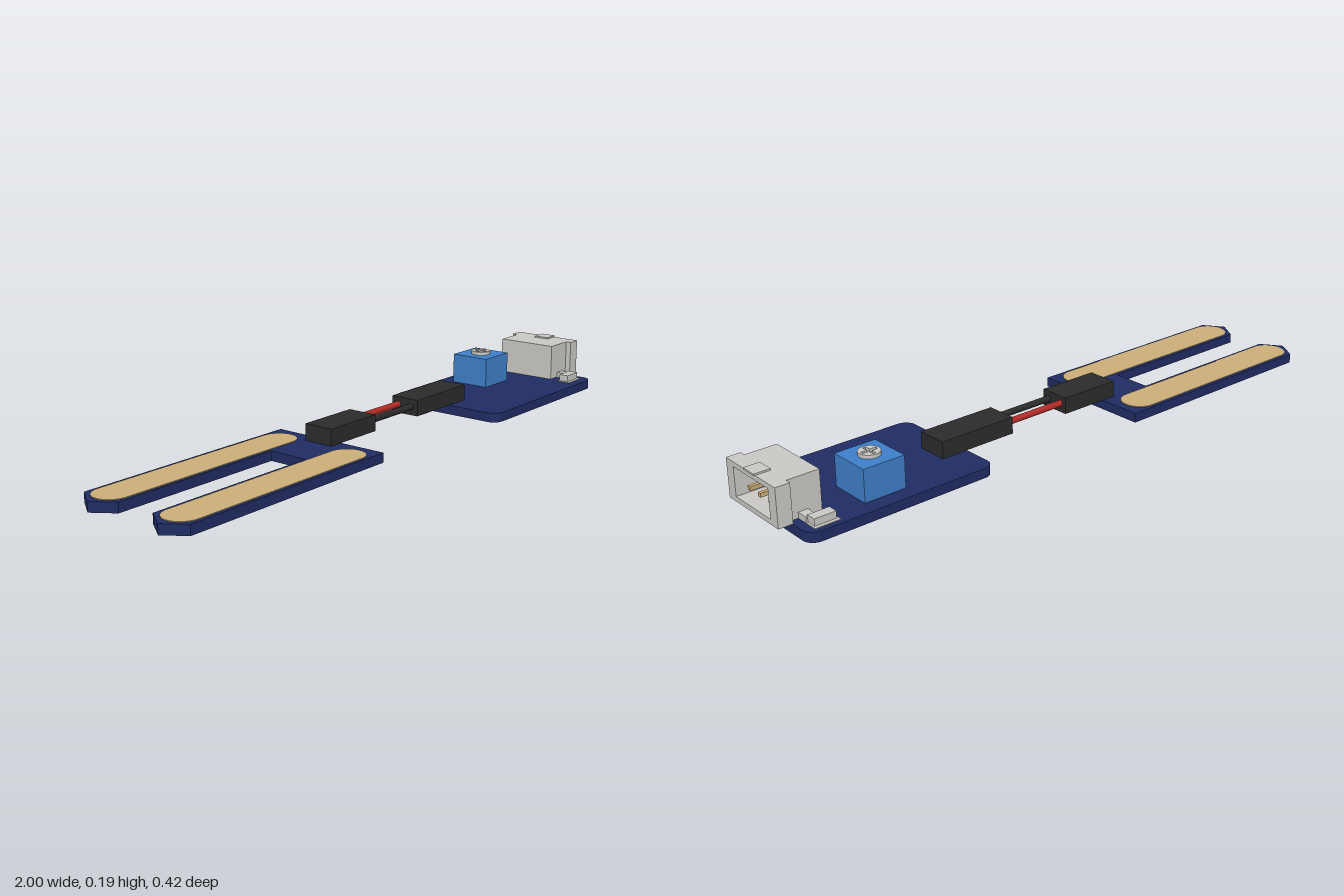
import * as THREE from 'three';

const mat = (name, color) => {
  const m = new THREE.MeshStandardMaterial({ color });
  m.name = name;
  return m;
};

export function createModel() {
  const navy = mat('navy board', 0x202c63);
  const gold = mat('gold contact', 0xcbae78);
  const black = mat('black plastic', 0x2b2b2b);
  const red = mat('red wire', 0xb32b26);
  const blue = mat('blue plastic', 0x3f7fc9);
  const grey = mat('light grey plastic', 0xcac8c4);

  const model = new THREE.Group();
  model.name = 'moistureSensor';

  const add = (name, geometry, material) => {
    const mesh = new THREE.Mesh(geometry, material);
    mesh.name = name;
    model.add(mesh);
    return mesh;
  };
  // Box given by its limits on each axis
  const box = (name, material, [x0, x1], [y0, y1], [z0, z1]) =>
    add(name, new THREE.BoxGeometry(x1 - x0, y1 - y0, z1 - z0), material)
      .position.set((x0 + x1) / 2, (y0 + y1) / 2, (z0 + z1) / 2);
  // Flat plate: shape drawn as (x, -z), extruded upwards from y0
  const plate = (name, material, shape, y0, y1) => {
    const g = new THREE.ExtrudeGeometry(shape, { depth: y1 - y0, bevelEnabled: false, curveSegments: 12 });
    g.rotateX(-Math.PI / 2);
    g.translate(0, y0, 0);
    return add(name, g, material);
  };
  const polygon = (pts) => new THREE.Shape(pts.map(([x, z]) => new THREE.Vector2(x, -z)));
  const roundRect = (x0, x1, z0, z1, r) => {
    const s = new THREE.Shape();
    s.absarc(x1 - r, -z0 - r, r, 0, Math.PI / 2);
    s.absarc(x0 + r, -z0 - r, r, Math.PI / 2, Math.PI);
    s.absarc(x0 + r, -z1 + r, r, Math.PI, Math.PI * 1.5);
    s.absarc(x1 - r, -z1 + r, r, Math.PI * 1.5, Math.PI * 2);
    s.closePath();
    return s;
  };

  const bottom = 0.032, top = 0.062;

  // Two-pronged probe with pointed tips
  plate('probeBoard', navy, polygon([
    [-0.2, 0.183], [-0.955, 0.183], [-1, 0.117], [-0.955, 0.05], [-0.385, 0.05],
    [-0.385, -0.079], [-0.955, -0.079], [-1, -0.145], [-0.955, -0.212], [-0.2, -0.212],
  ]), bottom, top);
  for (const z of [-0.145, 0.117]) {
    plate('probePad', gold, roundRect(-0.973, -0.228, z - 0.056, z + 0.056, 0.0555), top, top + 0.002);
  }

  // Cable with a plug at each end
  box('probePlug', black, [-0.245, -0.04], [top, 0.114], [-0.072, 0.027]);
  box('boardPlug', black, [0.172, 0.432], [top, 0.114], [-0.072, 0.027]);
  for (const [name, material, z] of [['redWire', red, -0.048], ['blackWire', black, 0.003]]) {
    const g = new THREE.CylinderGeometry(0.01, 0.01, 0.24, 16);
    g.rotateZ(Math.PI / 2);
    add(name, g, material).position.set(0.066, 0.09, z);
  }

  // Control board
  plate('controlBoard', navy, roundRect(0.345, 0.953, -0.197, 0.21, 0.036), bottom, top);

  // Trimmer with a cross-slotted screw
  box('trimmerBody', blue, [0.617, 0.75], [top, 0.16], [-0.147, -0.013]);
  const screw = new THREE.Shape();
  screw.absarc(0.683, 0.08, 0.032, 0, Math.PI * 2);
  const w = 0.005, l = 0.024;
  const cross = [[w, l], [w, w], [l, w], [l, -w], [w, -w], [w, -l],
    [-w, -l], [-w, -w], [-l, -w], [-l, w], [-w, w], [-w, l]];
  screw.holes.push(new THREE.Path(cross.map(([x, y]) => new THREE.Vector2(0.683 + x, 0.08 + y))));
  plate('trimmerScrew', grey, screw, 0.162, 0.171);
  const base = new THREE.CylinderGeometry(0.032, 0.032, 0.002, 24);
  add('trimmerScrewBase', base, grey).position.set(0.683, 0.161, -0.08);

  // Socket: closed back, open shell and a wider front rim, facing +x
  const shell = (name, halfWidth, x0, x1) => {
    const rect = (p, a, y0, y1) => p.moveTo(-a, y0).lineTo(a, y0).lineTo(a, y1).lineTo(-a, y1).closePath();
    const s = rect(new THREE.Shape(), halfWidth, 0.063, 0.18);
    s.holes.push(rect(new THREE.Path(), 0.085, 0.078, 0.165));
    const g = new THREE.ExtrudeGeometry(s, { depth: x1 - x0, bevelEnabled: false });
    g.rotateY(Math.PI / 2);
    g.translate(x0, 0, 0);
    add(name, g, grey);
  };
  box('socketBack', grey, [0.853, 0.872], [0.063, 0.18], [-0.102, 0.102]);
  shell('socketShell', 0.102, 0.872, 0.952);
  shell('socketRim', 0.12, 0.952, 0.996);
  box('socketKey', grey, [0.95, 1], [0.18, 0.185], [-0.026, 0.026]);
  for (const z of [-0.051, 0, 0.051]) {
    box('socketPin', gold, [0.872, 0.975], [0.102, 0.114], [z - 0.006, z + 0.006]);
  }
  // Solder tabs either side of the socket
  for (const s of [-1, 1]) {
    const span = (a, b) => [Math.min(s * a, s * b), Math.max(s * a, s * b)];
    box('socketTab', grey, [0.853, 0.92], [top, 0.085], span(0.137, 0.169));
    box('socketTabLink', grey, [0.895, 0.925], [top, 0.08], span(0.1, 0.138));
    box('socketTabPad', grey, [0.847, 0.926], [top, 0.064], span(0.132, 0.18));
  }

  // Chip under the board, with a row of legs on each side
  box('chip', black, [0.643, 0.74], [0, bottom - 0.002], [0.03, 0.109]);
  for (let i = 0; i < 4; i++) {
    const x = 0.656 + i * 0.0237;
    for (const z of [0.025, 0.114]) {
      box('chipLeg', grey, [x - 0.004, x + 0.004], [0.02, bottom], [z - 0.006, z + 0.006]);
    }
  }
  // Small components under the board, each with gold end caps
  for (const [x, z] of [[0.812, 0.05], [0.812, -0.022], [0.527, 0.03], [0.527, -0.022], [0.527, -0.062]]) {
    box('component', black, [x - 0.014, x + 0.014], [0.022, bottom], [z - 0.013, z + 0.013]);
    for (const s of [-1, 1]) {
      box('componentCap', gold, [x + s * 0.018 - 0.005, x + s * 0.018 + 0.005],
        [0.021, bottom], [z - 0.013, z + 0.013]);
    }
  }

  return model;
}
